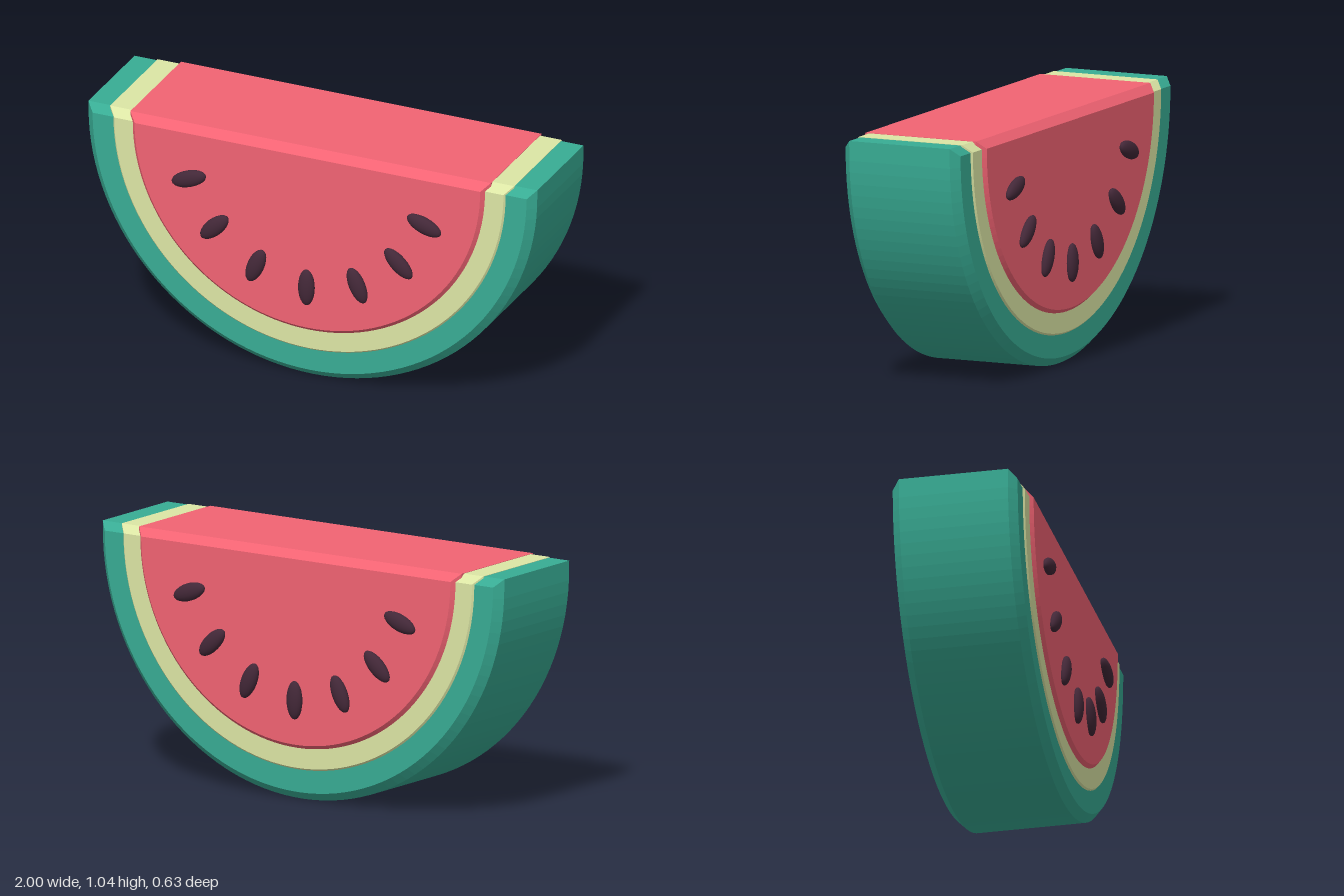
import * as THREE from 'three';

const CENTRE_Y = 1;
const BEVEL = 0.033;

// Bevelled half disc, flat side up; radius and halfDepth include the bevel
function halfDisc(name, color, radius, halfDepth, lift) {
  const shape = new THREE.Shape();
  shape.absarc(0, 0, radius - BEVEL, Math.PI, Math.PI * 2, false);
  shape.closePath();
  const depth = 2 * (halfDepth - BEVEL);
  const geometry = new THREE.ExtrudeGeometry(shape, {
    depth, curveSegments: 32, bevelEnabled: true,
    bevelThickness: BEVEL, bevelSize: BEVEL, bevelSegments: 1,
  });
  geometry.translate(0, 0, -depth / 2);
  const mesh = new THREE.Mesh(geometry, new THREE.MeshStandardMaterial({ color, flatShading: true }));
  mesh.name = name;
  mesh.position.y = CENTRE_Y + lift;
  return mesh;
}

export function createModel() {
  const model = new THREE.Group();
  model.name = 'watermelonSlice';

  // Nested layers; a tiny lift keeps the cut tops from coinciding
  model.add(
    halfDisc('rind', 0x38ac94, 1.0, 0.26, 0),
    halfDisc('pith', 0xdce6a5, 0.9, 0.267, 0.0015),
    halfDisc('flesh', 0xf26373, 0.803, 0.282, 0.003),
  );

  // Seeds fanned around the middle of the cut edge, on both faces
  const seeds = new THREE.Group();
  seeds.name = 'seeds';
  const seedGeometry = new THREE.SphereGeometry(1, 16, 12);
  seedGeometry.scale(0.036, 0.08, 0.024);
  const seedMaterial = new THREE.MeshStandardMaterial({ color: 0x432838 });
  for (const side of [1, -1]) {
    for (let i = -3; i <= 3; i++) {
      const angle = THREE.MathUtils.degToRad(i * 23.2);
      const radius = 0.58 - 0.007 * Math.abs(i);
      const seed = new THREE.Mesh(seedGeometry, seedMaterial);
      seed.name = side > 0 ? 'frontSeed' : 'backSeed';
      seed.position.set(Math.sin(angle) * radius, CENTRE_Y - Math.cos(angle) * radius, side * 0.291);
      seed.rotation.z = angle;
      seeds.add(seed);
    }
  }
  model.add(seeds);
  return model;
}
